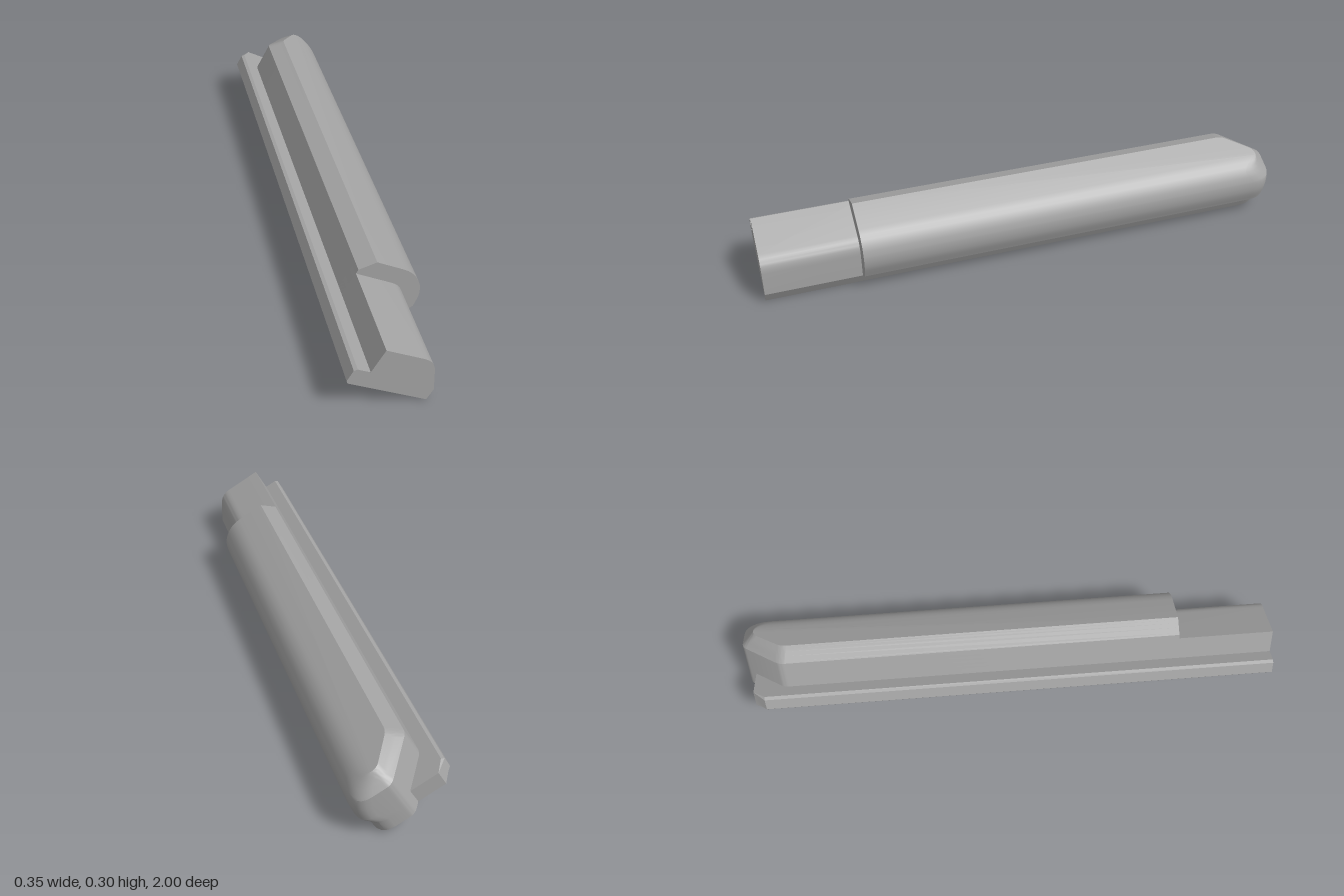
import * as THREE from 'three';
import { toCreasedNormals } from 'three/addons/utils/BufferGeometryUtils.js';

// Skin a stack of plan outlines: levels = [{ y, pts: [Vector2(x, z)] }], bottom to top
function stack(levels) {
  const n = levels[0].pts.length, pos = [], idx = [];
  for (const { y, pts } of levels) for (const p of pts) pos.push(p.x, y, p.y);
  for (let k = 0; k < levels.length - 1; k++) {
    for (let i = 0; i < n; i++) {
      const j = (i + 1) % n, a = k * n + i, b = k * n + j;
      idx.push(a, b + n, b, a, a + n, b + n);
    }
  }
  const top = (levels.length - 1) * n;
  for (let i = 1; i < n - 1; i++) idx.push(0, i, i + 1, top, top + i + 1, top + i);
  const g = new THREE.BufferGeometry();
  g.setAttribute('position', new THREE.Float32BufferAttribute(pos, 3));
  g.setIndex(idx);
  return toCreasedNormals(g, 0.4);
}

// Body outline at one height: slanted back-left corner, rounded back-right corner
function bodyOutline(right, inset) {
  const r = 0.02, left = -0.254 + inset, back = -1 + inset;
  const c1 = new THREE.Vector2(left, -0.85 + 0.2 * inset);
  const c2 = new THREE.Vector2(-0.139 + 0.26 * inset, back);
  const dir = c2.clone().sub(c1).normalize().multiplyScalar(r);
  const end = c2.x + r;
  const start = Math.max(right - 0.064, end + 0.002);
  const p = new THREE.Path();
  p.moveTo(left, 0.645);
  p.lineTo(left, c1.y + r);
  p.quadraticCurveTo(c1.x, c1.y, c1.x + dir.x, c1.y + dir.y);
  p.lineTo(c2.x - dir.x, c2.y - dir.y);
  p.quadraticCurveTo(c2.x, c2.y, end, back);
  p.lineTo(start, back);
  p.quadraticCurveTo(right, back, right, back + Math.min(0.08, (right - end) * 1.25));
  p.lineTo(right, 0.645);
  return p.getPoints(6);
}

export function createModel() {
  const model = new THREE.Group();
  model.name = 'railBlock';
  const grey = new THREE.MeshStandardMaterial({ color: 0xa3a3a3 });
  grey.name = 'grey';

  // Everything is built square, then tilted about the long axis
  const tilted = new THREE.Group();
  tilted.name = 'tiltedBody';
  tilted.position.set(0.09, 0, 0);
  tilted.rotation.z = -Math.atan2(0.148, 0.265);
  model.add(tilted);
  const add = (name, geometry) => {
    const m = new THREE.Mesh(geometry, grey);
    m.name = name;
    tilted.add(m);
  };

  // Main body: foot, flared lip, then the rounded shoulder with a chamfered left and back edge
  const sides = [[0, 0], [0.048, 0], [0.09, 0.024]];
  const steps = 9;
  for (let i = 0; i <= steps; i++) {
    const a = (i / steps) * Math.PI / 2;
    sides.push([0.106 + 0.12 * Math.sin(a), -0.098 + 0.12 * Math.cos(a)]);
  }
  sides.push([0.178, -0.098 + Math.sqrt(0.12 ** 2 - 0.072 ** 2)]);
  sides.sort((a, b) => a[0] - b[0]);
  add('mainBody', stack(sides.map(([y, right]) =>
    ({ y, pts: bodyOutline(right, Math.max(0, y - 0.178) * 0.98) }))));

  // Side flange along the full length, with its back corner cut off
  const flange = [[0, -0.303], [0.009, -0.312], [0.055, -0.312], [0.0635, -0.302]];
  add('sideFlange', stack(flange.map(([y, left]) => ({
    y,
    pts: [[left, 1], [left, -0.92], [-0.272, -0.965], [-0.155, -0.965], [-0.155, 1]]
      .map(([x, z]) => new THREE.Vector2(x, z)),
  }))));

  // Narrower front end with a rounded shoulder
  const s = new THREE.Shape();
  s.moveTo(-0.254, 0);
  s.lineTo(0, 0);
  s.lineTo(0, 0.048);
  s.lineTo(-0.045, 0.124);
  s.quadraticCurveTo(-0.067, 0.161, -0.107, 0.161);
  s.lineTo(-0.254, 0.161);
  s.closePath();
  const front = new THREE.ExtrudeGeometry(s, { depth: 0.4, bevelEnabled: false, curveSegments: 8 });
  front.translate(0, 0, 0.6);
  add('frontEnd', toCreasedNormals(front, 0.4));

  return model;
}
